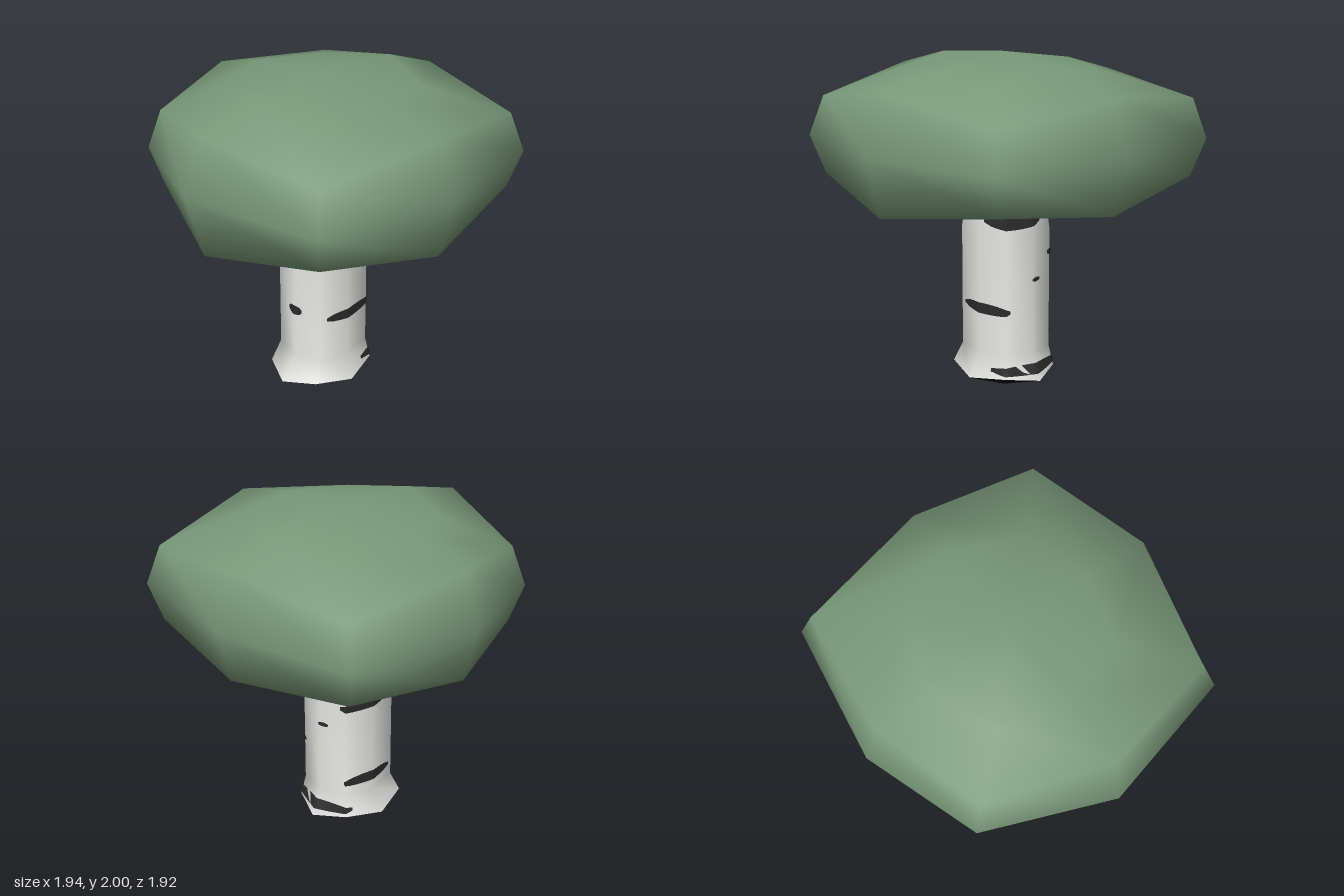
import * as THREE from 'three';

const mat = (name, color) => {
  const m = new THREE.MeshStandardMaterial({ color });
  m.name = name;
  return m;
};

// Closed or open skin over rings of eight points, listed from top to bottom.
// Each ring starts at +x and turns towards +z.
function loft(rings, top, bottom) {
  const n = 8, pos = rings.flat(2), idx = [];
  for (let i = 0; i < rings.length - 1; i++) {
    for (let k = 0; k < n; k++) {
      const a = i * n + k, b = i * n + (k + 1) % n, c = a + n, d = b + n;
      idx.push(a, b, c, b, d, c);
    }
  }
  if (top) {
    const t = pos.length / 3;
    pos.push(...top);
    for (let k = 0; k < n; k++) idx.push(t, (k + 1) % n, k);
  }
  if (bottom) {
    const t = pos.length / 3, o = (rings.length - 1) * n;
    pos.push(...bottom);
    for (let k = 0; k < n; k++) idx.push(t, o + k, o + (k + 1) % n);
  }
  const g = new THREE.BufferGeometry();
  g.setAttribute('position', new THREE.Float32BufferAttribute(pos, 3));
  g.setIndex(idx);
  g.computeVertexNormals();
  return g;
}

// Squarish eight-sided trunk ring
function trunkRing(x0, x1, z0, z1, y, cornerY, square) {
  const cx = (x0 + x1) / 2, cz = (z0 + z1) / 2, rx = (x1 - x0) / 2, rz = (z1 - z0) / 2;
  return Array.from({ length: 8 }, (_, k) => {
    const a = k * Math.PI / 4, odd = k % 2, s = odd ? square * Math.SQRT2 : 1;
    return [cx + Math.cos(a) * rx * s, odd ? cornerY : y, cz + Math.sin(a) * rz * s];
  });
}

const trunkRings = [
  trunkRing(-0.2, 0.235, -0.21, 0.18, 1.13, 1.13, 0.8),
  trunkRing(-0.215, 0.25, -0.225, 0.19, 0.98, 0.98, 0.82),
  trunkRing(-0.215, 0.25, -0.225, 0.19, 0.26, 0.26, 0.82),
  trunkRing(-0.32, 0.315, -0.285, 0.25, 0.105, 0.135, 0.72),
];

// Point on the trunk: u counts corners round the ring, y is the height
function trunkPoint(u, y, lift) {
  const column = (k) => {
    const c = trunkRings.map((r) => new THREE.Vector3(...r[((k % 8) + 8) % 8]));
    let i = 0;
    while (i < c.length - 2 && y < c[i + 1].y) i++;
    return c[i].clone().lerp(c[i + 1], (c[i].y - y) / (c[i].y - c[i + 1].y));
  };
  const k = Math.floor(u);
  const p = column(k).lerp(column(k + 1), u - k);
  const out = new THREE.Vector3(p.x - 0.018, 0, p.z + 0.018).setLength(lift);
  return p.add(out);
}

// Thin lens-shaped bark mark wrapped round the trunk
function barkMark(u0, u1, y, half) {
  const stops = new Set();
  for (let i = 0; i <= 8; i++) stops.add(u0 + (u1 - u0) * i / 8);
  for (let k = Math.ceil(u0); k <= u1; k++) stops.add(k);
  const us = [...stops].sort((a, b) => a - b), pos = [], idx = [];
  us.forEach((u, i) => {
    const t = (u - u0) / (u1 - u0);
    const h = half * (0.3 + 0.7 * Math.sqrt(Math.sin(Math.PI * Math.min(1, Math.max(0, t)))));
    pos.push(...trunkPoint(u, y + h, 0.006).toArray(), ...trunkPoint(u, y - h, 0.006).toArray());
    const a = i * 2;
    if (i < us.length - 1) idx.push(a, a + 2, a + 1, a + 2, a + 3, a + 1);
  });
  const g = new THREE.BufferGeometry();
  g.setAttribute('position', new THREE.Float32BufferAttribute(pos, 3));
  g.setIndex(idx);
  g.computeVertexNormals();
  return g;
}

export function createModel() {
  const tree = new THREE.Group();
  tree.name = 'tree';
  const leaf = mat('leaf green', 0x789978);
  const bark = mat('pale bark', 0xe6e7e4);
  const dark = mat('dark bark mark', 0x2b2b2b);
  const soil = mat('black root', 0x040404);
  dark.side = THREE.DoubleSide;
  const add = (name, geometry, material) => {
    const m = new THREE.Mesh(geometry, material);
    m.name = name;
    tree.add(m);
  };

  // Canopy: rounded, slightly uneven box
  const crown = [[0.54, 1.955, 0], [0.4, 1.9, 0.38], [0, 1.925, 0.5], [-0.38, 1.9, 0.38],
    [-0.5, 1.955, 0], [-0.36, 1.9, -0.38], [0, 1.92, -0.53], [0.4, 1.9, -0.4]];
  const shoulder = [[0.88, 1.83, 0], [0.76, 1.74, 0.72], [0, 1.85, 0.88], [-0.72, 1.74, 0.72],
    [-0.88, 1.855, 0], [-0.62, 1.74, -0.67], [0, 1.825, -0.87], [0.76, 1.74, -0.77]];
  const waist = [[0.97, 1.51, -0.02], [0.82, 1.51, 0.78], [0.01, 1.51, 0.96], [-0.785, 1.51, 0.78],
    [-0.97, 1.52, -0.03], [-0.67, 1.51, -0.735], [0.01, 1.51, -0.96], [0.82, 1.51, -0.83]];
  const hemY = [1.2, 1.29, 1.175, 1.29, 1.165, 1.29, 1.2, 1.29];
  const hem = shoulder.map(([x, , z], k) => [x, hemY[k], z]);
  add('canopy', loft([crown, shoulder, waist, hem], [0, 2, 0], [0, 1.055, 0]), leaf);

  // Trunk with flared foot and pointed root underneath
  add('trunk', loft(trunkRings), bark);
  add('rootUnderside', loft([trunkRings[3]], null, [0.01, 0, -0.01]), soil);

  // Bark marks: start, end, height, half height
  [
    [0.85, 2.75, 0.53, 0.032], [-1.2, 1.45, 0.176, 0.03],
    [-0.4, 1.8, 1.06, 0.045], [2.6, 3.3, 1.06, 0.04], [5, 5.5, 1.06, 0.035],
    [-0.35, 0.05, 0.705, 0.013], [5.3, 7.2, 0.84, 0.032],
    [5.2, 7.05, 0.35, 0.032], [3.7, 4.3, 0.56, 0.03],
  ].forEach((m, i) => add('barkMark' + (i + 1), barkMark(...m), dark));
  return tree;
}
